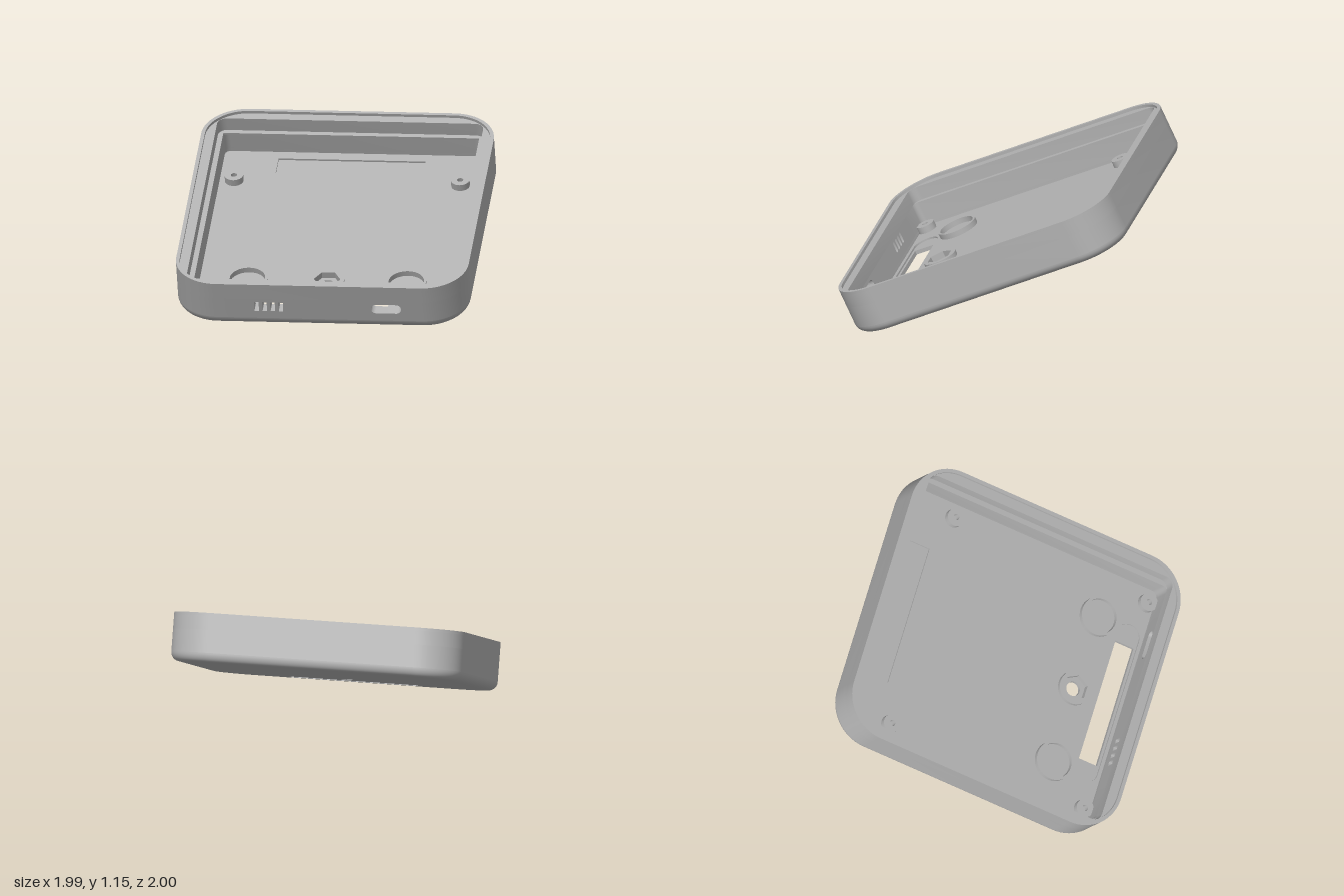
import * as THREE from 'three';
import { toCreasedNormals } from 'three/addons/utils/BufferGeometryUtils.js';

const HX = 0.995, HZ = 1.035, H = 0.33, R = 0.3; // half width, half length, height, corner radius
const FILLET = 0.06, FLOOR = 0.04, LEDGE = 0.215, STEP = 0.31;

// Points of a rounded rectangle, from the front left corner round the back
function outline(hx, hz, r, n = 16) {
  const pts = [];
  [[-1, 1], [-1, -1], [1, -1], [1, 1]].forEach(([sx, sz], k) => {
    for (let i = 0; i <= n; i++) {
      const a = ((k + 1) + i / n) * Math.PI / 2;
      pts.push(new THREE.Vector2(sx * (hx - r) + r * Math.cos(a), sz * (hz - r) + r * Math.sin(a)));
    }
  });
  return pts;
}
const outer = (inset) => outline(HX - inset, HZ - inset, R - inset);
const at = (pts, x, z) => pts.map((p) => new THREE.Vector2(p.x + x, p.y + z));
const circle = (x, z, r, n = 40, a0 = 0) => Array.from({ length: n }, (_, i) => {
  const a = a0 + i / n * Math.PI * 2;
  return new THREE.Vector2(x + r * Math.cos(a), z + r * Math.sin(a));
});

function shapeOf(pts, holes = []) {
  const s = new THREE.Shape(pts);
  s.holes = holes.map((h) => new THREE.Path(h));
  return s;
}

// Horizontal slab between two heights
function slab(pts, holes, y0, y1) {
  const g = new THREE.ExtrudeGeometry(shapeOf(pts, holes), { depth: y1 - y0, bevelEnabled: false });
  g.rotateX(Math.PI / 2).translate(0, y1, 0);
  return toCreasedNormals(g, 0.5);
}

// Rounded lower edge
function filletGeometry() {
  const pos = [], idx = [], rows = 10;
  let n = 0;
  for (let j = 0; j <= rows; j++) {
    const a = j / rows * Math.PI / 2;
    const loop = outer(FILLET * (1 - Math.sin(a)));
    n = loop.length;
    loop.forEach((p) => pos.push(p.x, FILLET * (1 - Math.cos(a)), p.y));
  }
  for (let j = 0; j < rows; j++) {
    for (let i = 0; i < n; i++) {
      const a = j * n + i, b = j * n + (i + 1) % n;
      idx.push(a, a + n, b, b, a + n, b + n);
    }
  }
  const g = new THREE.BufferGeometry();
  g.setAttribute('position', new THREE.Float32BufferAttribute(pos, 3));
  g.setIndex(idx);
  g.computeVertexNormals();
  return g;
}

export function createModel() {
  const grey = new THREE.MeshStandardMaterial({ color: 0xb0b0b0 });
  grey.name = 'grey plastic';
  const model = new THREE.Group();
  model.name = 'tiltedEnclosure';
  const tray = new THREE.Group();
  tray.name = 'tray';
  tray.rotation.x = THREE.MathUtils.degToRad(25);
  tray.position.set(0, 0.4195, -0.077);
  model.add(tray);
  const add = (name, geometry) => {
    const m = new THREE.Mesh(geometry, grey);
    m.name = name;
    tray.add(m);
    return m;
  };

  // Floor: lower skin with through openings, upper skin with shallow recesses
  const NUT_Z = 0.58, SLOT_Z = 0.837;
  const hex = circle(0, NUT_Z, 0.09, 6);
  add('lowerFloor', slab(outer(FILLET), [
    circle(0, NUT_Z, 0.05),
    at(outline(0.44, 0.07, 0.002, 1), 0, SLOT_Z),
  ], 0, 0.028));
  add('upperFloor', slab(outer(0.02), [
    hex,
    at(outline(0.585, 0.088, 0.0879), 0, SLOT_Z),
    at(outline(0.5, 0.0865, 0.002, 1), 0, -0.7865),
  ], 0.028, FLOOR));
  add('bottomEdge', filletGeometry());

  // Walls, stepped outwards towards the rim
  const inner = outline(0.87, 0.95, 0.04, 4);
  add('wallFoot', slab(outer(0.02), [inner], FLOOR, FILLET));
  const gap = 0.6;
  const v = (x, z) => new THREE.Vector2(x, z);
  add('lowerWall', slab([
    v(-gap, HZ), ...outer(0), v(gap, HZ), v(gap, 0.95), ...inner.slice().reverse(), v(-gap, 0.95),
  ], [], FILLET, LEDGE));
  add('upperWall', slab(outer(0), [outline(0.905, 0.945, 0.06, 4)], LEDGE, STEP));
  add('rimLip', slab(outer(0), [outer(0.025)], STEP, H));

  // Front panel with vent slots and a rounded port
  const midY = (FILLET + LEDGE) / 2, cutY = 0.153;
  const cuts = [-0.424, -0.369, -0.314, -0.259].map((x) => at(outline(0.016, 0.036, 0.003, 2), x, cutY));
  cuts.push(at(outline(0.103, 0.035, 0.0349), 0.457, cutY));
  const panel = new THREE.ExtrudeGeometry(
    shapeOf([v(-gap, FILLET), v(gap, FILLET), v(gap, LEDGE), v(-gap, LEDGE)], cuts),
    { depth: HZ - 0.95, bevelEnabled: false });
  add('frontPanel', toCreasedNormals(panel.translate(0, 0, 0.95), 0.5));

  // Retaining rib along the back wall
  add('backRib', new THREE.BoxGeometry(1.76, 0.014, 0.045)).position.set(0, LEDGE - 0.007, -0.9315);

  // Screw posts and round collars, mirrored
  for (const [side, s] of [['left', 1], ['right', -1]]) {
    for (const [end, z] of [['Back', -0.6], ['Front', 0.895]]) {
      add(side + end + 'Post', slab(circle(s * 0.77, z, 0.063), [circle(s * 0.77, z, 0.021, 20)], FLOOR, 0.087));
    }
    add(side + 'Collar', slab(circle(s * 0.54, 0.594, 0.136, 56), [circle(s * 0.54, 0.594, 0.12, 56)], FLOOR, 0.078));
  }

  // Nut holder with a hexagonal pocket
  add('nutHolder', slab(circle(0, NUT_Z, 0.117), [hex], FLOOR, 0.072));

  return model;
}
